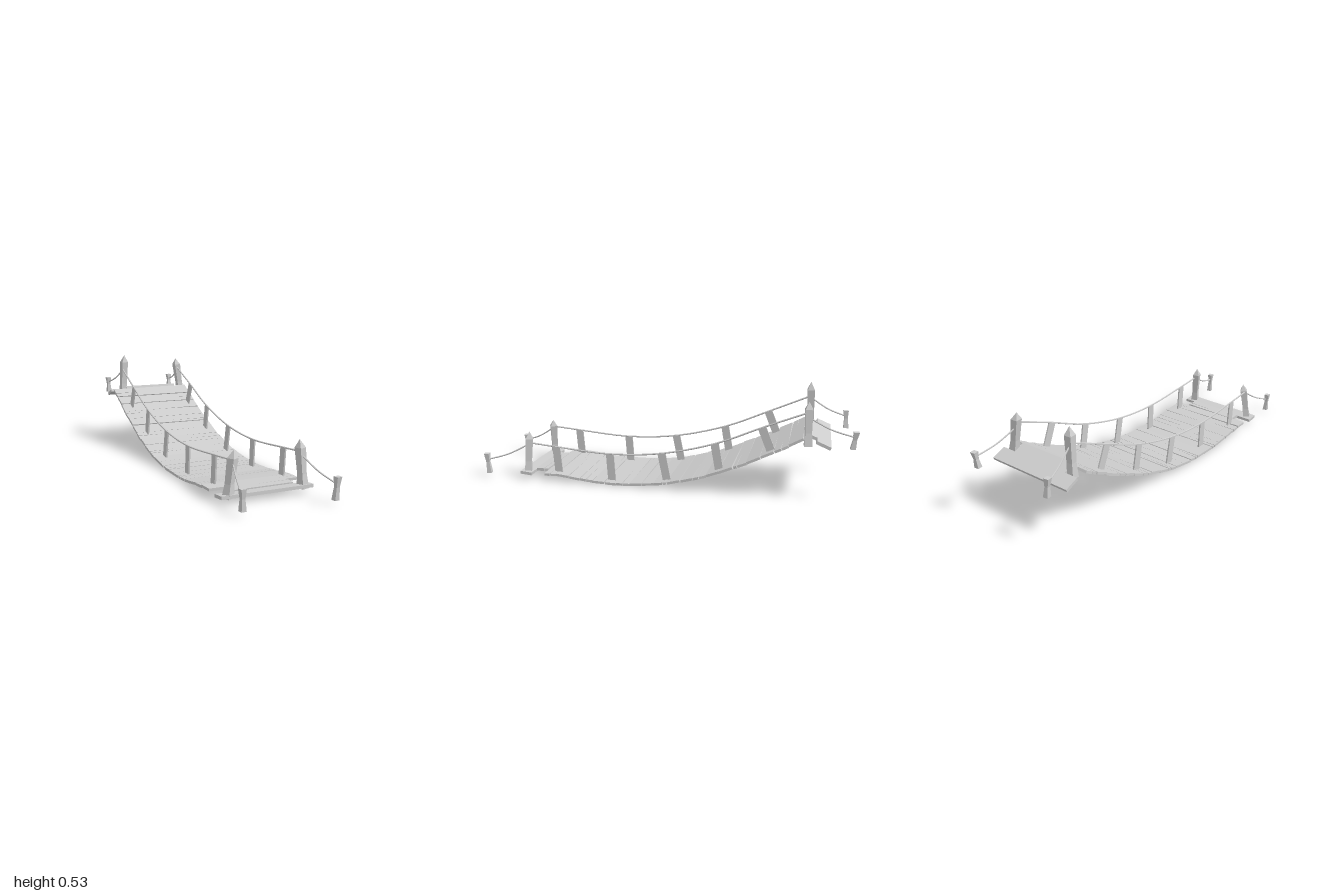
import * as THREE from 'three';

const wood = new THREE.MeshStandardMaterial({ color: 0xcccccc, flatShading: true });
wood.name = 'paleGrey';

let seed = 7;
const rand = (a = -1, b = 1) => {
  seed = (seed * 16807) % 2147483647;
  return a + (b - a) * (seed / 2147483647);
};
const V = (x, y, z) => new THREE.Vector3(x, y, z);

// Sag of the walkway, as z and y
const sag = new THREE.CatmullRomCurve3([
  [0.70, 0.036], [0.6, 0.04], [0.5, 0.031], [0.4, 0.02], [0.3, 0.014], [0.2, 0.014], [0.1, 0.02], [0, 0.032],
  [-0.1, 0.052], [-0.2, 0.08], [-0.3, 0.113], [-0.4, 0.155], [-0.5, 0.2], [-0.6, 0.25], [-0.74, 0.325],
].map(([z, y]) => V(0, y, z)));

function add(group, name, geometry) {
  const mesh = new THREE.Mesh(geometry, wood);
  mesh.name = name;
  group.add(mesh);
  return mesh;
}

// Rough board lying flat, with an optional split running in from one end
function plankGeometry(x0, x1, width, thick, split) {
  const w = width / 2, j = () => rand(-0.004, 0.004);
  const s = new THREE.Shape();
  s.moveTo(x0 + Math.abs(j()), -w + j());
  s.lineTo(x1 - Math.abs(j()), -w + j());
  if (split > 0) {
    const c = rand(-0.4, 0.4) * w;
    s.lineTo(x1, c - 0.002);
    s.lineTo(x1 - split, c + rand(-0.003, 0.003));
    s.lineTo(x1, c + 0.002);
  }
  s.lineTo(x1 - Math.abs(j()), w + j());
  if (split < 0) s.lineTo((x0 + x1) / 2, w + j());
  s.lineTo(x0 + Math.abs(j()), w + j());
  if (split < 0) {
    const c = rand(-0.4, 0.4) * w;
    s.lineTo(x0, c + 0.002);
    s.lineTo(x0 - split, c + rand(-0.003, 0.003));
    s.lineTo(x0, c - 0.002);
  }
  const g = new THREE.ExtrudeGeometry(s, { depth: thick, bevelEnabled: false });
  return g.translate(0, 0, -thick / 2).rotateX(-Math.PI / 2);
}

// Four-sided timber from [half width, height] rings, leaning from base to top
function timberGeometry(rings, base, top, turn) {
  const pts = rings.map(([r, t]) => new THREE.Vector2(r * Math.SQRT2, t));
  const g = new THREE.LatheGeometry(pts, 4).rotateY(Math.PI / 4 + turn);
  const p = g.attributes.position;
  for (let i = 0; i < p.count; i++) {
    const t = p.getY(i);
    p.setXYZ(i,
      p.getX(i) + base.x + (top.x - base.x) * t,
      base.y + (top.y - base.y) * t,
      p.getZ(i) + base.z + (top.z - base.z) * t);
  }
  g.computeVertexNormals();
  return g;
}

function ropeGeometry(points, radius) {
  return new THREE.TubeGeometry(new THREE.CatmullRomCurve3(points), points.length * 4, radius, 5);
}

export function createModel() {
  const bridge = new THREE.Group();
  bridge.name = 'ropeBridge';

  // Walkway planks
  const deck = new THREE.Group();
  deck.name = 'deck';
  bridge.add(deck);
  const count = 20, zFront = 0.65, zBack = -0.73, pitch = (zFront - zBack) / count;
  const heightAt = (z) => {
    let lo = 0, hi = 1;
    for (let i = 0; i < 24; i++) {
      const m = (lo + hi) / 2;
      if (sag.getPoint(m).z > z) lo = m; else hi = m;
    }
    return sag.getPoint(lo).y;
  };
  for (let i = 0; i < count; i++) {
    const z = zFront - pitch * (i + 0.5);
    const slope = (heightAt(z + 0.03) - heightAt(z - 0.03)) / 0.06;
    const split = i % 3 === 0 ? rand(0.1, 0.28) : i % 3 === 1 ? -rand(0.1, 0.28) : 0;
    const width = pitch * Math.hypot(1, slope) - 0.002;
    const plank = add(deck, 'plank', plankGeometry(-0.243, 0.243, width, 0.013, split));
    plank.position.set(0, heightAt(z), z);
    plank.rotation.set(-Math.atan(slope) + rand(-0.04, 0.04), rand(-0.008, 0.008), rand(-0.008, 0.008));
  }

  // Landing boards at both ends: a short one between the posts and a full one
  const landings = [
    [-0.155, 0.17, 0.07, 0.04, 0.686, 0.02, 0.18],
    [-0.243, 0.243, 0.062, 0.036, 0.753, -0.08, 0],
    [-0.165, 0.17, 0.066, 0.319, -0.762, -0.4, 0],
    [-0.243, 0.243, 0.076, 0.295, -0.825, -0.4, 0],
  ];
  for (const [x0, x1, w, y, z, tilt, split] of landings) {
    const board = add(deck, 'landingBoard', plankGeometry(x0, x1, w, 0.016, split));
    board.position.set(0, y, z);
    board.rotation.set(tilt, 0.012 * Math.sign(-z), 0.006);
  }

  // Pointed corner posts: base, tip and turn
  const posts = [
    [V(-0.196, 0.025, 0.757), V(-0.163, 0.243, 0.748), 0.5],
    [V(0.2, 0.025, 0.757), V(0.182, 0.26, 0.748), 0.3],
    [V(-0.176, 0.28, -0.755), V(-0.165, 0.535, -0.748), 0.1],
    [V(0.218, 0.283, -0.755), V(0.185, 0.5, -0.75), 0.1],
  ];
  for (const [base, tip, turn] of posts) {
    add(bridge, 'post', timberGeometry(
      [[0, 0], [0.021, 0], [0.016, 0.3], [0.019, 0.83], [0, 1]], base, tip, turn));
  }

  // Ground stakes with a pinched waist, and the guy ropes tied to them
  const stakes = [
    [V(-0.222, 0.024, 0.945), V(-0.226, 0.125, 0.95), V(-0.172, 0.195, 0.75)],
    [V(0.229, 0.024, 0.975), V(0.231, 0.134, 0.985), V(0.188, 0.19, 0.75)],
    [V(-0.208, 0.28, -0.945), V(-0.214, 0.375, -0.94), V(-0.171, 0.445, -0.755)],
    [V(0.228, 0.283, -0.97), V(0.229, 0.37, -0.983), V(0.193, 0.42, -0.755)],
  ];
  for (const [base, top, tie] of stakes) {
    add(bridge, 'stake', timberGeometry(
      [[0, 0], [0.013, 0], [0.009, 0.55], [0.0135, 1], [0, 1]], base, top, 0.12));
    const knot = base.clone().lerp(top, 0.68);
    const middle = knot.clone().lerp(tie, 0.5).add(V(0, -0.012, 0));
    add(bridge, 'guyRope', ropeGeometry([tie, middle, knot], 0.004));
  }

  // Hand ropes and their flat uprights on each side
  const ropeLine = [[0.75, 0.2], [0.59, 0.186], [0.28, 0.165], [0, 0.187], [-0.29, 0.26], [-0.53, 0.36], [-0.75, 0.455]];
  const uprights = [[0.59, 0.186, 0.578, 0.042], [0.285, 0.166, 0.275, 0.014], [0, 0.186, -0.03, 0.036],
    [-0.282, 0.257, -0.308, 0.115], [-0.522, 0.357, -0.572, 0.235]];
  for (const x of [-0.181, 0.192]) {
    const drop = x > 0 ? -0.008 : 0;
    add(bridge, 'handRope', ropeGeometry(
      ropeLine.map(([z, y]) => V(x, y + (z < -0.6 ? drop : 0), z)), 0.0048));
    for (const [zt, yt, zb, yb] of uprights) {
      const g = new THREE.BoxGeometry(0.008, Math.hypot(yt - yb, zt - zb), 0.043);
      const slat = add(bridge, 'upright', g);
      slat.position.set(x, (yt + yb) / 2, (zt + zb) / 2);
      slat.rotation.x = Math.atan2(zt - zb, yt - yb);
    }
  }
  return bridge;
}
